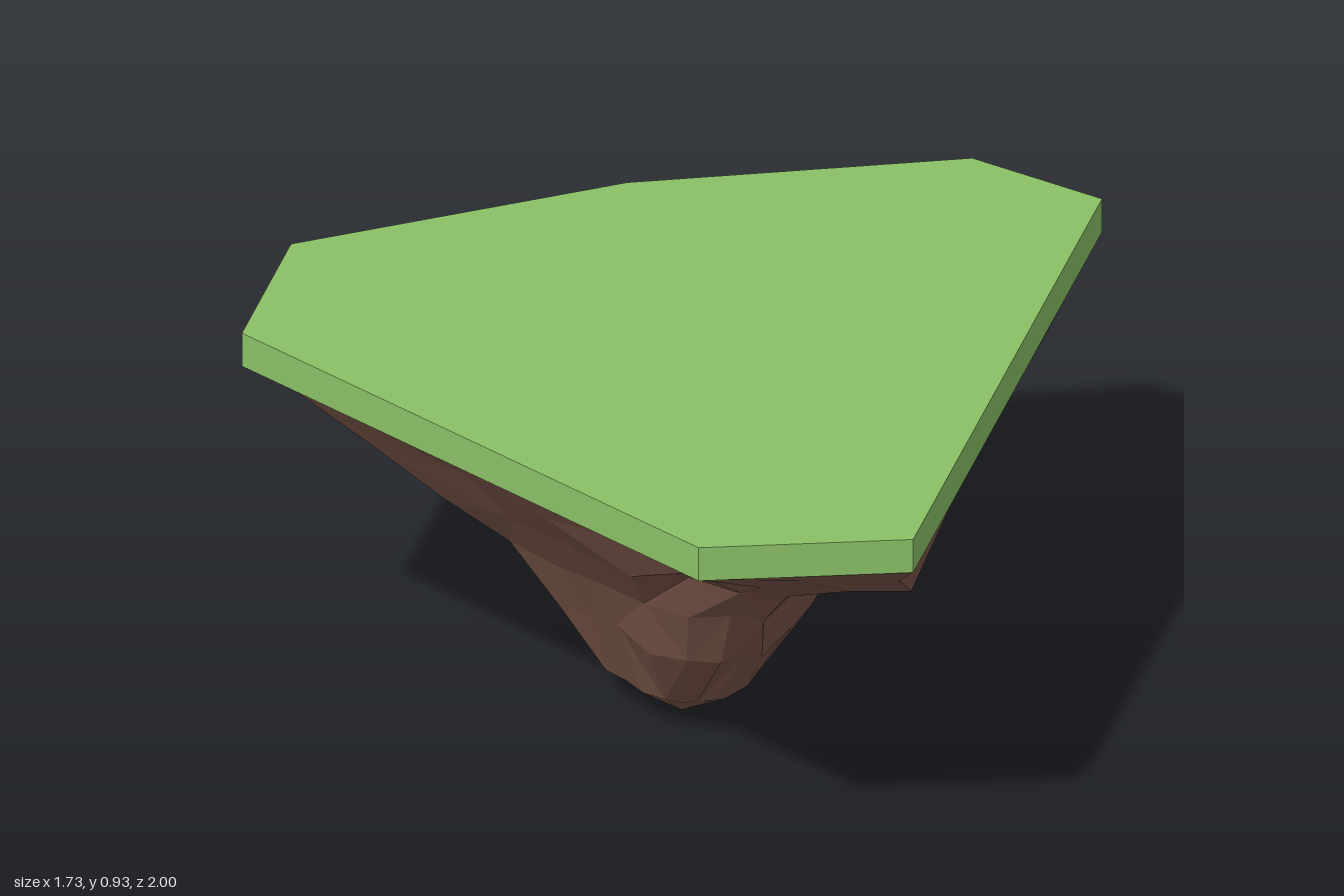
import * as THREE from 'three';

// Plateau corners (x, z), running from the +x side round the front
const OUTLINE = [[0.862, 0.84], [0.4, 1], [-0.865, 0.24], [-0.865, -0.21], [-0.2, -0.69], [0.53, -1], [0.865, -0.88]];

// Rim points where the rock columns meet the plateau, in the same order
const RIM = [
  [0.86, -0.15], [0.86, 0.18], [0.86, 0.6], [0.86, 0.84], [0.63, 0.92], [0.4, 1], [0.08, 0.81], [-0.24, 0.62], [-0.55, 0.43], [-0.865, 0.24],
  [-0.865, -0.21], [-0.53, -0.45], [-0.2, -0.69], [0.05, -0.79], [0.3, -0.9], [0.53, -1], [0.865, -0.88], [0.86, -0.68], [0.86, -0.42],
];

// Rock cross-sections: height, then reach of each column from the tip axis to the rim
const LEVELS = [
  [0.80, [0.97, 0.97, 0.97, 0.94, 0.95, 0.92, 0.84, 0.82, 0.84, 0.89, 0.94, 0.9, 0.9, 0.91, 0.9, 0.92, 0.9, 0.97, 0.97]],
  [0.66, [0.86, 0.8, 0.89, 0.74, 0.65, 0.6, 0.64, 0.64, 0.67, 0.69, 0.76, 0.67, 0.62, 0.63, 0.76, 0.83, 0.77, 0.8, 0.88]],
  [0.54, [0.68, 0.55, 0.52, 0.46, 0.47, 0.42, 0.51, 0.51, 0.53, 0.54, 0.62, 0.53, 0.48, 0.5, 0.74, 0.74, 0.59, 0.61, 0.66]],
  [0.42, [0.45, 0.42, 0.37, 0.36, 0.4, 0.38, 0.39, 0.38, 0.38, 0.39, 0.49, 0.43, 0.39, 0.43, 0.64, 0.56, 0.44, 0.44, 0.48]],
  [0.27, [0.38, 0.36, 0.31, 0.28, 0.32, 0.29, 0.33, 0.3, 0.28, 0.28, 0.31, 0.3, 0.28, 0.27, 0.27, 0.25, 0.24, 0.27, 0.33]],
  [0.09, [0.23, 0.22, 0.17, 0.14, 0.13, 0.13, 0.17, 0.18, 0.17, 0.17, 0.18, 0.19, 0.18, 0.18, 0.16, 0.14, 0.14, 0.17, 0.2]],
];
const TIP = [0.12, 0, 0.06];

function seeded(seed) {
  return () => {
    seed = (seed * 16807) % 2147483647;
    return seed / 2147483647 - 0.5;
  };
}

function makePlateau() {
  const shape = new THREE.Shape(OUTLINE.map(([x, z]) => new THREE.Vector2(x, z)));
  const geometry = new THREE.ExtrudeGeometry(shape, { depth: 0.085, bevelEnabled: false });
  geometry.rotateX(Math.PI / 2).translate(0, 0.93, 0);
  const mesh = new THREE.Mesh(geometry, new THREE.MeshStandardMaterial({ color: 0x8bc066 }));
  mesh.name = 'grassPlateau';
  return mesh;
}

function makeRock() {
  const random = seeded(77);
  const n = RIM.length;
  const positions = [];
  const index = [];

  // Rim ring, then the shrinking rings with slightly uneven heights
  RIM.forEach(([x, z]) => positions.push(x, 0.845, z));
  LEVELS.forEach(([y, reach], level) => {
    const rough = level === 0 || level === LEVELS.length - 1 ? 0.015 : 0.05;
    RIM.forEach(([x, z], i) => {
      const f = reach[i] * (1 + random() * 0.03);
      positions.push(TIP[0] + (x - TIP[0]) * f, y + random() * rough, TIP[2] + (z - TIP[2]) * f);
    });
  });

  // Facets between rings, with varied diagonals
  for (let j = 0; j < LEVELS.length; j++) {
    for (let i = 0; i < n; i++) {
      const next = (i + 1) % n;
      const a = j * n + i, b = j * n + next, c = a + n, d = b + n;
      if (random() > 0) index.push(a, b, d, a, d, c);
      else index.push(a, b, c, b, d, c);
    }
  }

  // Pointed bottom
  const tip = positions.length / 3;
  const last = LEVELS.length * n;
  positions.push(...TIP);
  for (let i = 0; i < n; i++) index.push(last + i, last + ((i + 1) % n), tip);

  const geometry = new THREE.BufferGeometry();
  geometry.setAttribute('position', new THREE.Float32BufferAttribute(positions, 3));
  geometry.setIndex(index);
  const facets = geometry.toNonIndexed();
  facets.computeVertexNormals();
  const mesh = new THREE.Mesh(facets, new THREE.MeshStandardMaterial({ color: 0x795548, flatShading: true }));
  mesh.name = 'rockUnderside';
  return mesh;
}

export function createModel() {
  const group = new THREE.Group();
  group.name = 'floatingIsland';
  group.add(makePlateau(), makeRock());
  return group;
}
